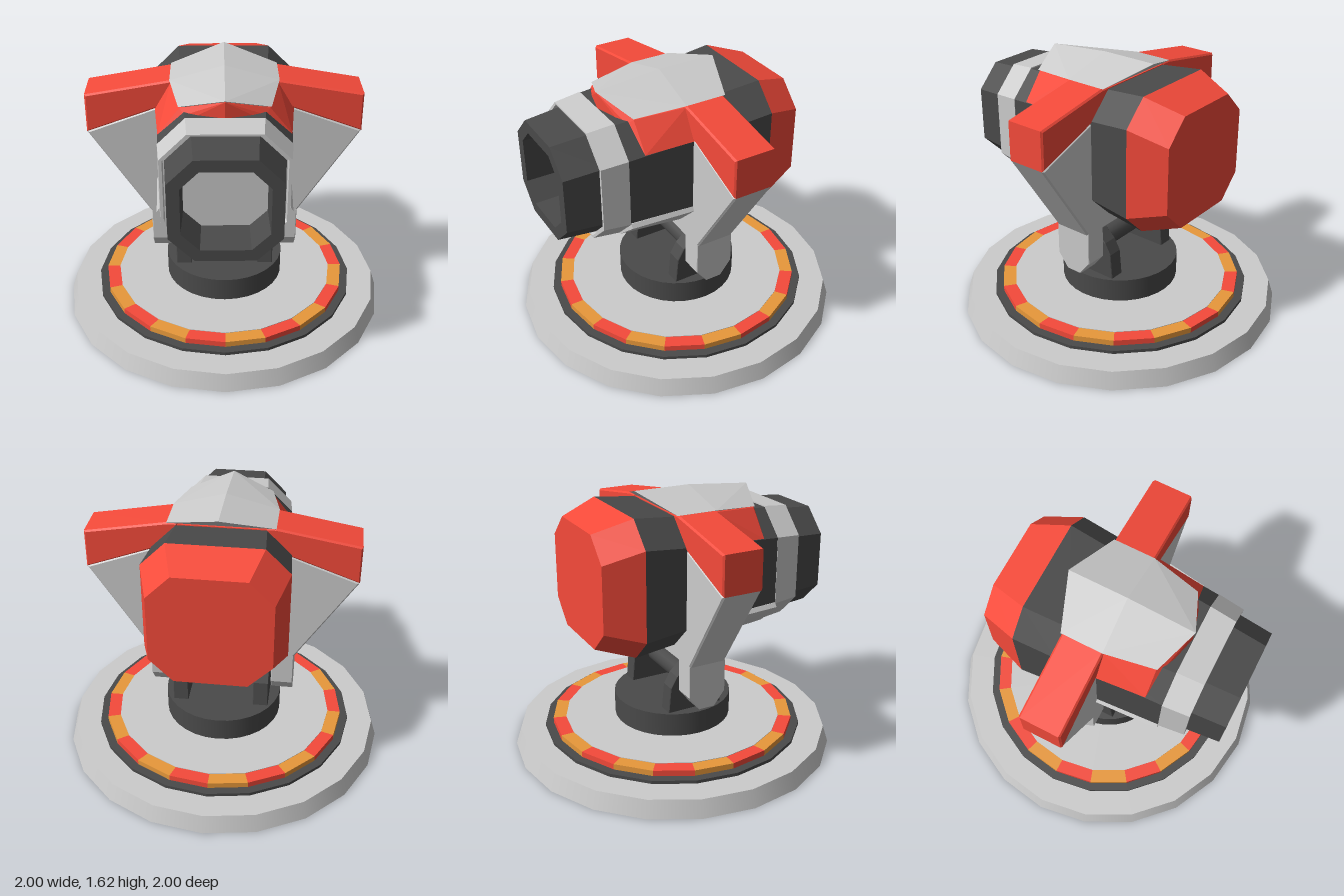
import * as THREE from 'three';
import { ConvexGeometry } from 'three/addons/geometries/ConvexGeometry.js';

const mat = (color) => new THREE.MeshStandardMaterial({ color, flatShading: true });
const GREY = mat(0xcccccc), DARK = mat(0x4a4a4a), RED = mat(0xf54a3a), ORANGE = mat(0xe8983a);
const smooth = (m) => { const c = m.clone(); c.flatShading = false; return c; };
const AXIS_Y = 1.125; // height of the barrel axis

// Chamfered rectangle, counter-clockwise seen from the front
function octagon([z, w, h, c]) {
  return [[w, c - h], [w, h - c], [w - c, h], [c - w, h], [-w, h - c], [-w, c - h], [c - w, -h], [w - c, -h]]
    .map(([x, y]) => new THREE.Vector3(x, y + AXIS_Y, z));
}

// Skin over octagonal sections [z, half width, half height, chamfer], closed at both ends
function loft(sections) {
  const rings = sections.map(octagon), pts = [], n = 8;
  const cap = (ring, front) => {
    const mid = new THREE.Vector3(0, AXIS_Y, ring[0].z);
    ring.forEach((p, i) => {
      const q = ring[(i + 1) % n];
      pts.push(mid, front ? p : q, front ? q : p);
    });
  };
  cap(rings[0], false);
  for (let k = 0; k + 1 < rings.length; k++) {
    for (let i = 0; i < n; i++) {
      const j = (i + 1) % n, a = rings[k], b = rings[k + 1];
      pts.push(a[i], a[j], b[j], a[i], b[j], b[i]);
    }
  }
  cap(rings[rings.length - 1], true);
  const g = new THREE.BufferGeometry().setFromPoints(pts);
  g.computeVertexNormals();
  return g;
}

// Convex solid from points, each repeated on the other side of x = 0
function mirroredHull(points) {
  const all = [];
  for (const [x, y, z] of points) {
    all.push(new THREE.Vector3(x, y, z));
    if (x) all.push(new THREE.Vector3(-x, y, z));
  }
  return new ConvexGeometry(all);
}

// Plate with slightly bevelled edges, centred on its depth
function plate(points, depth, bevel = 0.01) {
  const shape = new THREE.Shape(points.map(([x, y]) => new THREE.Vector2(x, y)));
  const g = new THREE.ExtrudeGeometry(shape, {
    depth: depth - 2 * bevel, bevelEnabled: true, bevelSize: bevel, bevelOffset: -bevel,
    bevelThickness: bevel, bevelSegments: 1,
  });
  return g.translate(0, 0, bevel - depth / 2);
}

export function createModel() {
  const model = new THREE.Group();
  model.name = 'turret';
  const add = (name, geometry, material, parent = model) => {
    const mesh = new THREE.Mesh(geometry, material);
    mesh.name = name;
    parent.add(mesh);
    return mesh;
  };
  const disc = (name, r0, r1, y0, y1, sides, material) =>
    add(name, new THREE.CylinderGeometry(r1, r0, y1 - y0, sides).translate(0, (y0 + y1) / 2, 0), material);

  // Base discs
  disc('base', 1, 0.967, 0, 0.105, 20, smooth(GREY));
  disc('baseRing', 0.81, 0.81, 0.1, 0.125, 20, DARK);
  disc('floor', 0.68, 0.68, 0.12, 0.163, 20, GREY);

  // Striped warning ring
  const stripes = new THREE.Group();
  stripes.name = 'warningRing';
  model.add(stripes);
  const step = Math.PI / 10;
  for (let i = 0; i < 20; i++) {
    const g = new THREE.CylinderGeometry(0.76, 0.76, 0.04, 1, 1, false, i * step, step);
    add('stripe', g.translate(0, 0.14, 0), i % 2 ? RED : ORANGE, stripes);
  }

  // Pedestal and axle
  disc('pedestal', 0.365, 0.365, 0.15, 0.31, 32, smooth(DARK));
  add('axle', new THREE.CylinderGeometry(0.065, 0.065, 0.64, 16).rotateZ(Math.PI / 2).translate(0, 0.48, 0), smooth(DARK));

  // Pedestal brackets and yoke legs
  const bracket = [[-0.18, 0.3], [0.18, 0.3], [0.165, 0.47], [0.125, 0.54], [0.06, 0.6],
    [-0.06, 0.6], [-0.125, 0.54], [-0.165, 0.47]];
  const leg = [[-0.05, 0.37], [0.05, 0.37], [0.12, 0.46], [0.12, 0.665], [-0.12, 0.665], [-0.12, 0.46]];
  for (const s of [1, -1]) {
    add('bracket', plate(bracket, 0.095, 0.004).rotateY(Math.PI / 2).translate(s * 0.252, 0, 0), DARK);
    add('yokeLeg', plate(leg, 0.135, 0.004).rotateY(Math.PI / 2).translate(s * 0.377, 0, 0), GREY);
    // Coloured shoulder on each yoke arm
    const arm = plate([[0.25, 1.41], [0.8, 1.21], [0.8, 1.445], [0.31, 1.53], [0.25, 1.53]], 0.25);
    add('shoulder', s > 0 ? arm : arm.rotateY(Math.PI), RED);
  }
  add('yoke', plate([[-0.44, 0.65], [0.44, 0.65], [0.8, 1.21], [0.3, 1.395], [-0.3, 1.395], [-0.8, 1.21]], 0.24), GREY);

  // Barrel from back to front
  add('rearCap', loft([[-0.61, 0.35, 0.34, 0.14], [-0.38, 0.42, 0.415, 0.145]]), RED);
  add('barrelBody', loft([[-0.38, 0.42, 0.415, 0.145], [-0.12, 0.405, 0.39, 0.145], [0.51, 0.365, 0.355, 0.15]]), DARK);
  add('barrelCollar', loft([[0.51, 0.368, 0.362, 0.155], [0.67, 0.352, 0.346, 0.15],
    [0.67, 0.335, 0.335, 0.145], [0.64, 0.33, 0.33, 0.145]]), GREY);
  add('muzzle', loft([[0.62, 0.325, 0.325, 0.145], [0.87, 0.305, 0.305, 0.14],
    [0.87, 0.237, 0.237, 0.1], [0.45, 0.225, 0.225, 0.095]]), DARK);

  // Cradle under the barrel
  add('cradle', mirroredHull([
    [0.37, 0.925, 0.51], [0.385, 0.9, 0.51], [0.225, 0.762, 0.51],
    [0.39, 0.915, 0.1], [0.405, 0.89, 0.1], [0.25, 0.735, 0.1],
  ]), GREY);

  // Coloured shroud and the roof above it
  add('shroud', mirroredHull([
    [0.305, 1.52, -0.12], [0.305, 1.52, 0.12], [0.4, 1.36, -0.12], [0.4, 1.355, 0.12],
    [0.37, 1.34, 0.41], [0.245, 1.498, 0.41], [0.22, 1.47, 0.44], [0, 1.575, 0.505], [0, 1.48, 0.505],
  ]), RED);
  add('roof', mirroredHull([
    [0, 1.618, -0.245], [0, 1.618, 0.11], [0, 1.583, 0.512],
    [0.312, 1.532, -0.13], [0.312, 1.532, 0.12], [0.252, 1.506, 0.415],
  ]), GREY);

  return model;
}
